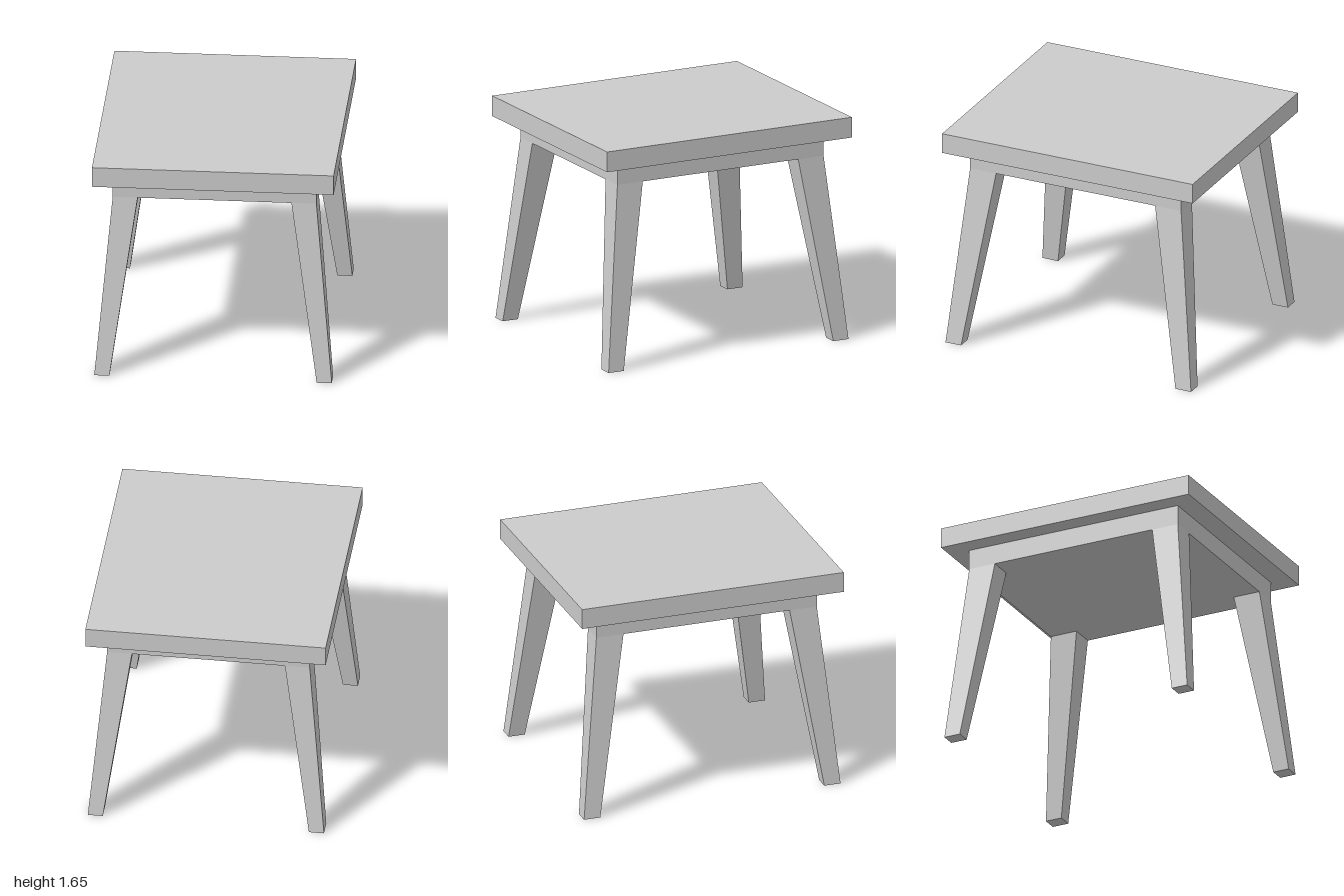
import * as THREE from 'three';

const material = new THREE.MeshStandardMaterial({ color: 0xcccccc, flatShading: true });

// Box spanning y0..y1, centred on x and z
function slab(name, width, y0, y1, depth) {
  const geometry = new THREE.BoxGeometry(width, y1 - y0, depth);
  geometry.translate(0, (y0 + y1) / 2, 0);
  const mesh = new THREE.Mesh(geometry, material);
  mesh.name = name;
  return mesh;
}

// Splayed, tapered leg: each end is a rectangle given by [inner, outer] in x and z
const LEG_TOP = { y: 1.355, x: [0.555, 0.735], z: [0.635, 0.842] };
const LEG_FOOT = { y: 0, x: [0.748, 0.857], z: [0.856, 0.98] };

function leg(name, sx, sz) {
  const geometry = new THREE.BoxGeometry(1, 1, 1);
  const p = geometry.attributes.position;
  for (let i = 0; i < p.count; i++) {
    const end = p.getY(i) > 0 ? LEG_TOP : LEG_FOOT;
    const x = end.x[p.getX(i) * sx > 0 ? 1 : 0] * sx;
    const z = end.z[p.getZ(i) * sz > 0 ? 1 : 0] * sz;
    p.setXYZ(i, x, end.y, z);
  }
  geometry.computeVertexNormals();
  const mesh = new THREE.Mesh(geometry, material);
  mesh.name = name;
  return mesh;
}

export function createModel() {
  const table = new THREE.Group();
  table.name = 'table';

  // Top board and the solid apron block beneath it
  table.add(slab('tableTop', 1.744, 1.503, 1.654, 2));
  table.add(slab('apron', 1.47, 1.355, 1.503, 1.684));

  // Four mirrored legs
  for (const sx of [1, -1]) {
    for (const sz of [1, -1]) {
      table.add(leg((sz > 0 ? 'front' : 'back') + (sx > 0 ? 'Left' : 'Right') + 'Leg', sx, sz));
    }
  }
  return table;
}
